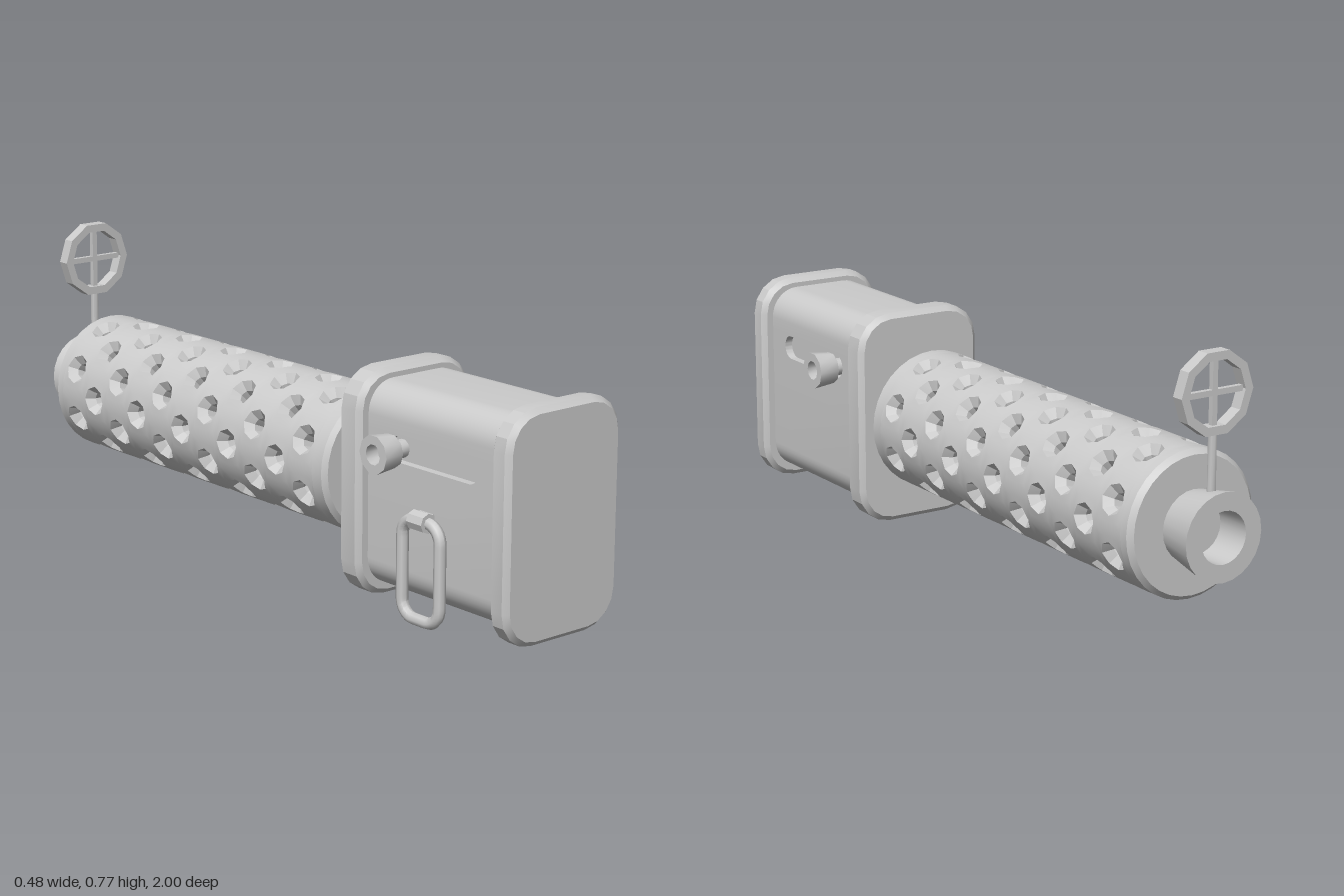
import * as THREE from 'three';
import { toCreasedNormals, mergeGeometries } from 'three/addons/utils/BufferGeometryUtils.js';

const AXIS_Y = 0.317; // height of the barrel axis
const material = new THREE.MeshStandardMaterial({ color: 0xcccccc });

export function createModel() {
  const model = new THREE.Group();

  function add(name, geometry, x = 0, y = 0, z = 0, crease = 0.5) {
    const mesh = new THREE.Mesh(toCreasedNormals(geometry, crease), material);
    mesh.name = name;
    mesh.position.set(x, y, z);
    model.add(mesh);
    return mesh;
  }

  // Turned part: points are [radius, position along the axis]
  const lathe = (points, segments) =>
    new THREE.LatheGeometry(points.map(([r, h]) => new THREE.Vector2(r, h)), segments);

  // Rounded rectangle, usable as a shape or as a hole
  function roundedRect(target, x0, y0, x1, y1, r) {
    target.moveTo(x0 + r, y0);
    target.lineTo(x1 - r, y0);
    target.absarc(x1 - r, y0 + r, r, -Math.PI / 2, 0);
    target.lineTo(x1, y1 - r);
    target.absarc(x1 - r, y1 - r, r, 0, Math.PI / 2);
    target.lineTo(x0 + r, y1);
    target.absarc(x0 + r, y1 - r, r, Math.PI / 2, Math.PI);
    target.lineTo(x0, y0 + r);
    target.absarc(x0 + r, y0 + r, r, Math.PI, Math.PI * 1.5);
    return target;
  }

  // End plates of the receiver, with chamfered rims
  const bevel = 0.014;
  for (const [name, z0, z1] of [['frontPlate', 0.935, 1], ['rearPlate', 0.38, 0.46]]) {
    const outline = roundedRect(new THREE.Shape(), -0.179, 0.026, 0.179, 0.598, 0.087);
    add(name, new THREE.ExtrudeGeometry(outline, {
      depth: z1 - z0 - 2 * bevel, curveSegments: 2,
      bevelEnabled: true, bevelThickness: bevel, bevelSize: bevel, bevelSegments: 1,
    }), 0, 0, z0 + bevel, 0.3);
  }

  // Receiver body with a channel along each side
  const W = 0.16, D = 0.022, B = 0.045, T = 0.585, R = 0.08, S0 = 0.397, S1 = 0.47;
  const body = new THREE.Shape();
  body.moveTo(-W + R, B);
  body.lineTo(W - R, B);
  body.absarc(W - R, B + R, R, -Math.PI / 2, 0);
  for (const [x, y] of [[W, S0], [W - D, S0], [W - D, S1], [W, S1]]) body.lineTo(x, y);
  body.lineTo(W, T - R);
  body.absarc(W - R, T - R, R, 0, Math.PI / 2);
  body.lineTo(-W + R, T);
  body.absarc(-W + R, T - R, R, Math.PI / 2, Math.PI);
  for (const [x, y] of [[-W, S1], [-W + D, S1], [-W + D, S0], [-W, S0]]) body.lineTo(x, y);
  body.lineTo(-W, B + R);
  body.absarc(-W + R, B + R, R, Math.PI, Math.PI * 1.5);
  add('receiverBody', new THREE.ExtrudeGeometry(body, {
    depth: 0.5, curveSegments: 5, bevelEnabled: false,
  }), 0, 0, 0.45);

  for (const side of [1, -1]) {
    // Inlay that closes the channel into a round-ended slot
    const inlay = new THREE.Shape();
    inlay.moveTo(0.45, S0);
    inlay.lineTo(0.95, S0);
    inlay.lineTo(0.95, S1);
    inlay.lineTo(0.45, S1);
    inlay.closePath();
    inlay.holes.push(roundedRect(new THREE.Path(), 0.535, S0 + 0.003, 0.863, S1 - 0.003, 0.033));
    const slot = new THREE.ExtrudeGeometry(inlay, { depth: D, curveSegments: 5, bevelEnabled: false });
    slot.rotateY(-Math.PI / 2);
    add('slotSurround', slot, side > 0 ? W : -W + D);

    // Flared hollow knob on a stem
    const knob = lathe([[0.024, 0.13], [0.024, 0.178], [0.044, 0.178], [0.051, 0.239],
      [0.027, 0.239], [0.027, 0.2], [0, 0.2]], 10);
    knob.rotateZ(-side * Math.PI / 2);
    add('knob', knob, 0, 0.432, 0.567, 0.7);
  }

  // Carrying loop hung from a collar on the right side
  const loopPath = new THREE.CurvePath();
  const corners = roundedRect(new THREE.Path(), -0.069, 0.016, 0.069, 0.275, 0.045)
    .getPoints(4).map((p) => new THREE.Vector3(0, p.y, p.x));
  corners.forEach((p, i) => {
    const next = corners[(i + 1) % corners.length];
    if (p.distanceTo(next) > 1e-4) loopPath.add(new THREE.LineCurve3(p, next));
  });
  add('carryLoop', new THREE.TubeGeometry(loopPath, 80, 0.016, 8, true), -0.179, 0, 0.682, 0.8);
  const collar = new THREE.CylinderGeometry(0.026, 0.026, 0.055, 8).rotateX(Math.PI / 2);
  add('loopCollar', collar, -0.18, 0.275, 0.682, 0.6);
  add('loopBracket', new THREE.BoxGeometry(0.03, 0.04, 0.05), -0.163, 0.275, 0.682);

  // Inner barrel
  const barrel = new THREE.CylinderGeometry(0.113, 0.113, 1.26, 32).rotateX(Math.PI / 2);
  add('barrel', barrel, 0, AXIS_Y, -0.25);

  // Cooling sleeve: staggered rows of cells, each with a countersunk hole
  const RADIUS = 0.193, STEP = 0.1015, ROWS = 11, FIRST_Z = 0.225, SIDES = 16;
  const holeRings = [[0.025, 0.125], [0.025, 0.168], [0.042, RADIUS]]; // hole radius, sleeve radius
  const positions = [];
  const wrap = (u, v, r) => [r * Math.cos(u / RADIUS), r * Math.sin(u / RADIUS), v];

  function addCell(u0, v0) {
    const rings = [0, 1, 2, 3, 4].map((ring) => Array.from({ length: SIDES }, (_, k) => {
      const angle = (k / SIDES) * Math.PI * 2, c = Math.cos(angle), s = Math.sin(angle);
      const [holeR, r] = holeRings[Math.min(ring, 2)];
      const rho = holeR * (k % 2 ? Math.cos(Math.PI / 8) : 1);
      const m = Math.max(Math.abs(c), Math.abs(s));
      const edgeU = (Math.round((2 * c) / m) / 2) * RADIUS * Math.PI / 8;
      const edgeV = (Math.round((2 * s) / m) / 2) * STEP / 2;
      const t = Math.max(0, ring - 2) / 2;
      return wrap(u0 + rho * c + (edgeU - rho * c) * t, v0 + rho * s + (edgeV - rho * s) * t, r);
    }));
    for (let i = 0; i < 4; i++) {
      for (let k = 0; k < SIDES; k++) {
        const n = (k + 1) % SIDES;
        const a = rings[i][k], b = rings[i + 1][k], c = rings[i + 1][n], d = rings[i][n];
        positions.push(...a, ...b, ...c, ...a, ...c, ...d);
      }
    }
  }
  for (let row = 0; row < ROWS; row++) {
    for (let i = 0; i < 8; i++) {
      addCell((i + (row % 2 ? 0 : 0.5)) * RADIUS * Math.PI / 4, FIRST_Z - row * STEP);
    }
  }
  const sleeve = new THREE.BufferGeometry();
  sleeve.setAttribute('position', new THREE.Float32BufferAttribute(positions, 3));
  add('coolingSleeve', sleeve, 0, AXIS_Y, 0);

  // Plain chamfered ends of the sleeve
  const zTop = FIRST_Z + STEP / 2, zLow = FIRST_Z - (ROWS - 0.5) * STEP;
  const ends = mergeGeometries([
    lathe([[RADIUS, zTop], [RADIUS, 0.313], [0.18, 0.325], [0.1, 0.325]], 32),
    lathe([[0, -0.88], [0.18, -0.88], [RADIUS, -0.866], [RADIUS, zLow]], 32),
  ]).rotateX(Math.PI / 2);
  add('sleeveEnds', ends, 0, AXIS_Y, 0);

  // Flared muzzle with an open bore
  const muzzle = lathe([[0, -0.9], [0.068, -0.9], [0.068, -1], [0.115, -1], [0.092, -0.875]], 24)
    .rotateX(Math.PI / 2);
  add('muzzle', muzzle, 0, AXIS_Y, 0);

  // Ring sight: post, ten-sided ring and cross hairs
  const SIGHT_Y = 0.668, SIGHT_Z = -0.947;
  const tenSided = (r) => Array.from({ length: 10 }, (_, i) =>
    new THREE.Vector2(r * Math.cos(i * Math.PI / 5), r * Math.sin(i * Math.PI / 5)));
  const ring = new THREE.Shape(tenSided(0.108));
  ring.holes.push(new THREE.Path(tenSided(0.085)));
  add('sightRing', new THREE.ExtrudeGeometry(ring, { depth: 0.034, bevelEnabled: false }),
    0, SIGHT_Y, SIGHT_Z - 0.017);
  add('sightCrossBar', new THREE.BoxGeometry(0.175, 0.015, 0.014), 0, SIGHT_Y, SIGHT_Z);
  add('sightUprightBar', new THREE.BoxGeometry(0.015, 0.17, 0.014), 0, SIGHT_Y, SIGHT_Z);
  add('sightPost', new THREE.CylinderGeometry(0.011, 0.011, 0.18, 8), 0, 0.488, SIGHT_Z, 0.9);

  return model;
}
